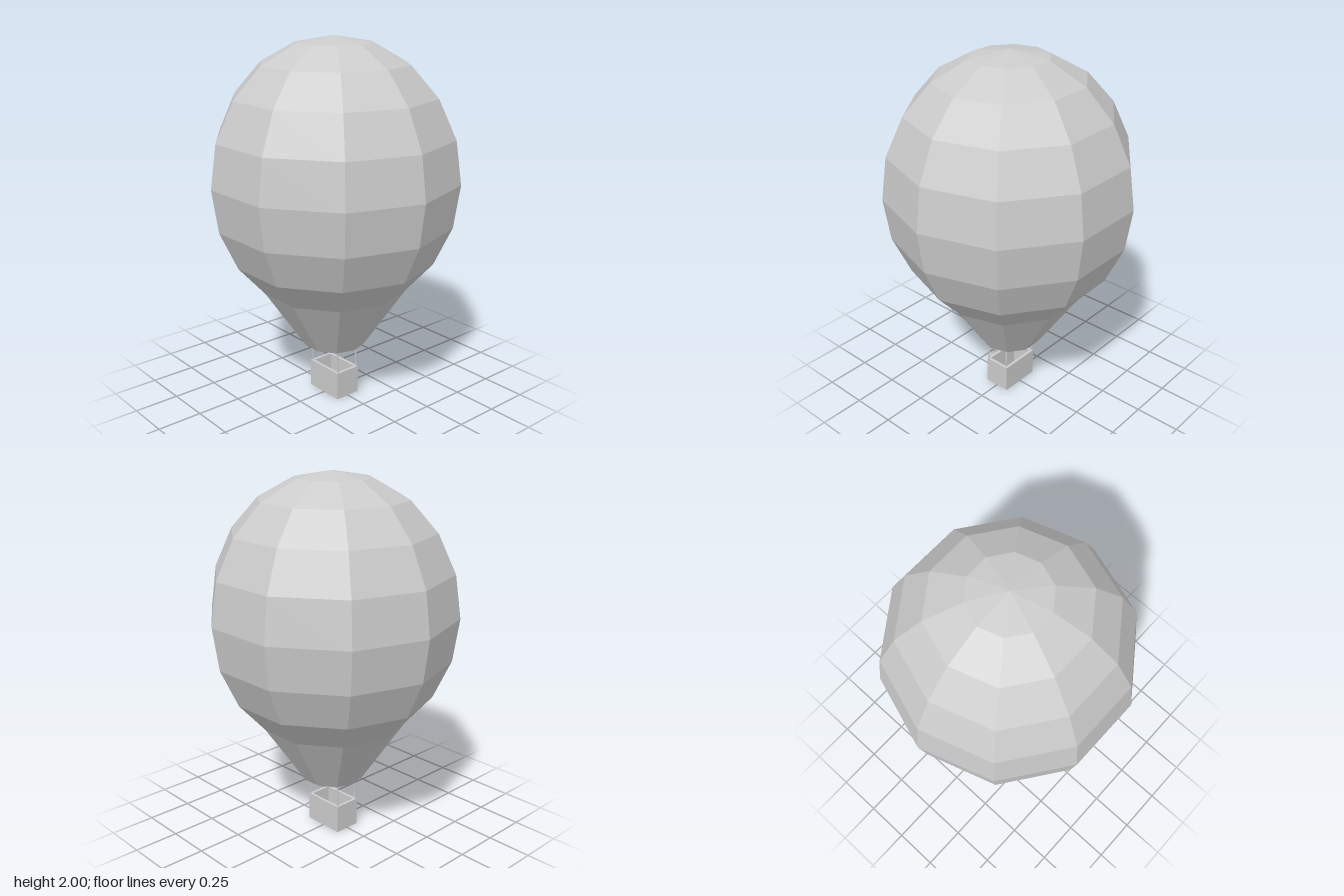
import * as THREE from 'three';

export function createModel() {
  const model = new THREE.Group();
  model.name = 'hotAirBalloon';
  const grey = new THREE.MeshStandardMaterial({ color: 0xcccccc, flatShading: true });
  const cloth = new THREE.MeshStandardMaterial({ color: 0xcccccc, flatShading: true, side: THREE.DoubleSide });

  const add = (parent, name, geometry, material, x = 0, y = 0, z = 0) => {
    const mesh = new THREE.Mesh(geometry, material);
    mesh.name = name;
    mesh.position.set(x, y, z);
    parent.add(mesh);
    return mesh;
  };

  // Ten-sided envelope, open at the mouth, with corners on the x axis
  const profile = [
    [0.172, 0.3], [0.4, 0.642], [0.546, 0.806], [0.642, 1.016], [0.675, 1.25],
    [0.642, 1.484], [0.546, 1.692], [0.4, 1.857], [0.208, 1.964], [0, 2],
  ].map(([r, y]) => new THREE.Vector2(r, y));
  const envelope = new THREE.LatheGeometry(profile, 10, Math.PI / 2).toNonIndexed();
  envelope.computeVertexNormals();
  add(model, 'envelope', envelope, cloth);

  // Open basket: floor and four walls
  const W = 0.236, D = 0.152, H = 0.158, T = 0.016;
  const basket = new THREE.Group();
  basket.name = 'basket';
  model.add(basket);
  add(basket, 'basketFloor', new THREE.BoxGeometry(W - 2 * T, T, D - 2 * T), grey, 0, T / 2, 0);
  for (const s of [-1, 1]) {
    add(basket, s > 0 ? 'frontWall' : 'backWall', new THREE.BoxGeometry(W, H, T), grey, 0, H / 2, s * (D - T) / 2);
    add(basket, s > 0 ? 'leftWall' : 'rightWall', new THREE.BoxGeometry(T, H, D - 2 * T), grey, s * (W - T) / 2, H / 2, 0);
  }

  // Four ropes from the basket corners to the mouth
  const ropeGeometry = new THREE.CylinderGeometry(0.004, 0.004, 0.16, 6);
  for (const sx of [-1, 1]) {
    for (const sz of [-1, 1]) {
      const name = (sz > 0 ? 'front' : 'back') + (sx > 0 ? 'Left' : 'Right') + 'Rope';
      add(model, name, ropeGeometry, grey, sx * 0.11, 0.225, sz * 0.067);
    }
  }
  return model;
}
